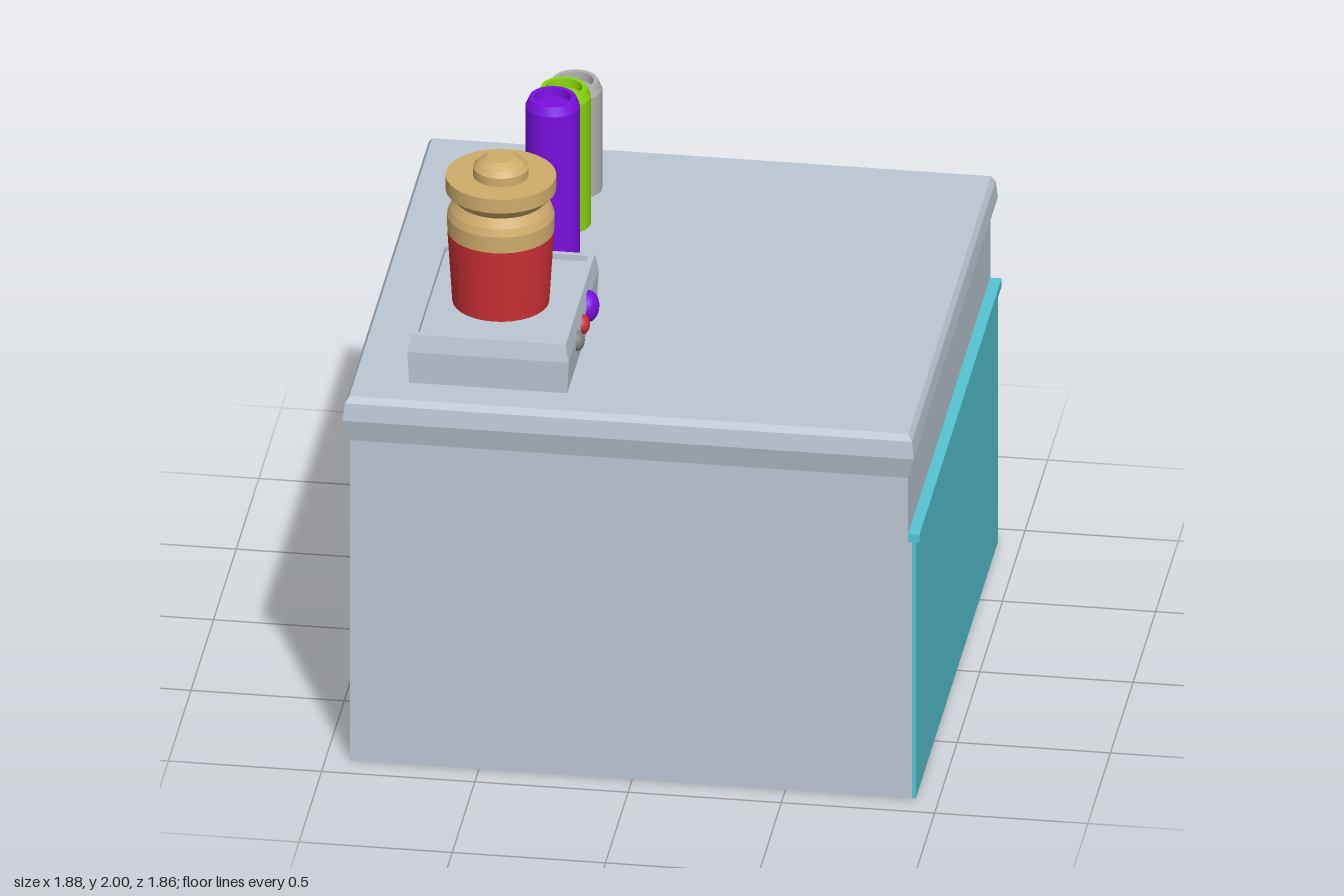
import * as THREE from 'three';

const mat = (color, flatShading = false) =>
  new THREE.MeshStandardMaterial({ color, flatShading });

const STEEL = 0xbcc7d3, TEAL = 0x55c4d4, RED = 0xcc3035, TAN = 0xd0ac6c;
const PURPLE = 0x7a0fe0, GREEN = 0x88d40f, GREY = 0xb0b0b0;

function add(parent, name, geometry, material, x = 0, y = 0, z = 0) {
  const mesh = new THREE.Mesh(geometry, material);
  mesh.name = name;
  mesh.position.set(x, y, z);
  parent.add(mesh);
  return mesh;
}

// Rectangular solid from a [halfWidth, y] profile; extraZ lengthens it along z.
function rectLoft(profile, extraZ = 0) {
  const pts = profile.map(([w, y]) => new THREE.Vector2(w * Math.SQRT2, y));
  const geo = new THREE.LatheGeometry(pts, 4, Math.PI / 4);
  const p = geo.attributes.position;
  for (let i = 0; i < p.count; i++) {
    const z = p.getZ(i);
    if (Math.abs(z) > 1e-5) p.setZ(i, z + Math.sign(z) * extraZ);
  }
  return geo;
}

// Round solid with crisp profile edges: one smooth band per profile segment.
function turned(parent, name, profile, color, x, z) {
  const group = new THREE.Group();
  group.name = name;
  group.position.set(x, 0, z);
  const material = mat(color);
  for (let i = 0; i < profile.length - 1; i++) {
    const pts = [profile[i], profile[i + 1]].map(([r, y]) => new THREE.Vector2(r, y));
    add(group, name + 'Band', new THREE.LatheGeometry(pts, 32), material);
  }
  parent.add(group);
}

export function createModel() {
  const model = new THREE.Group();
  model.name = 'counterWithJars';

  // Cabinet with a bulging worktop edge
  add(model, 'counter', rectLoft([
    [0, 0], [0.91, 0], [0.91, 1.165], [0.932, 1.245], [0.925, 1.305], [0.912, 1.327], [0, 1.327],
  ]), mat(STEEL, true), -0.01);

  // Side panel with its backing and top lip
  add(model, 'panelBacking', new THREE.BoxGeometry(0.03, 0.95, 1.81), mat(STEEL), 0.898, 0.475, 0);
  add(model, 'sidePanel', new THREE.BoxGeometry(0.012, 0.955, 1.816), mat(TEAL), 0.919, 0.4775, 0);
  add(model, 'panelLip', new THREE.BoxGeometry(0.042, 0.03, 1.816), mat(TEAL), 0.916, 0.945, 0);

  // Tray-topped stand
  add(model, 'stand', rectLoft([
    [0, 1.327], [0.258, 1.327], [0.263, 1.44], [0.252, 1.5], [0.233, 1.5], [0.233, 1.48], [0, 1.48],
  ], 0.07), mat(STEEL, true), -0.487, 0, 0.464);

  // Buttons on the stand: [name, z, radius, depth, colour]
  for (const [name, z, r, depth, color] of [
    ['greyButton', 0.597, 0.033, 0.025, 0x808080],
    ['redButton', 0.48, 0.033, 0.025, RED],
    ['purpleButton', 0.352, 0.052, 0.036, PURPLE],
  ]) {
    add(model, name, new THREE.SphereGeometry(r, 24, 16), mat(color), -0.226, 1.418, z)
      .scale.x = depth / r;
  }

  // Jar: red body, tan neck, lid and knob
  turned(model, 'jarBody', [[0, 1.48], [0.157, 1.48], [0.173, 1.737]], RED, -0.494, 0.465);
  turned(model, 'jarLid', [
    [0.173, 1.737], [0.174, 1.795], [0.165, 1.82], [0.146, 1.85], [0.179, 1.885], [0.179, 1.935],
    [0.09, 1.935], [0.09, 1.965], [0.075, 1.982], [0.046, 2], [0, 2],
  ], TAN, -0.494, 0.465);

  // Row of bottles with recessed tops
  for (const [name, z, top, color] of [
    ['purpleBottle', -0.145, 1.91, PURPLE],
    ['greenBottle', -0.392, 1.818, GREEN],
    ['greyBottle', -0.64, 1.716, GREY],
  ]) {
    turned(model, name, [
      [0, 1.327], [0.088, 1.327], [0.088, top - 0.03], [0.075, top],
      [0.06, top], [0.058, top - 0.03], [0, top - 0.03],
    ], color, -0.415, z);
  }

  return model;
}
